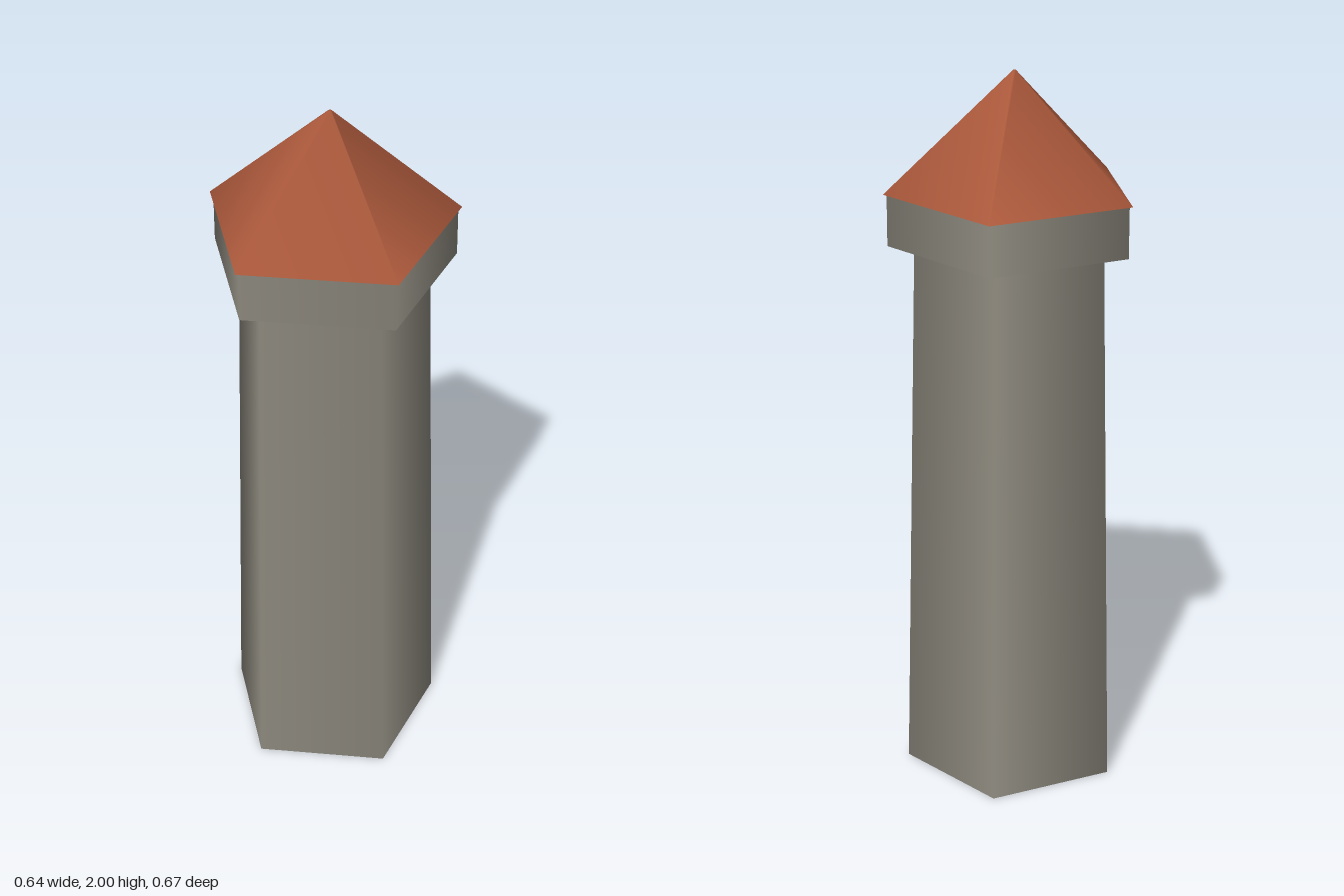
import * as THREE from 'three';

const SIDES = 5;
const CENTRE_X = -0.034; // pentagon axis, offset so its bounds are centred

export function createModel() {
  const stone = new THREE.MeshStandardMaterial({ color: 0x8f8b80 });
  stone.name = 'stone';
  const roofTile = new THREE.MeshStandardMaterial({ color: 0xa8573a });
  roofTile.name = 'roofTile';

  const tower = new THREE.Group();
  tower.name = 'tower';

  // Smooth-shaded five-sided drum with one corner facing +x
  function addDrum(name, material, bottomRadius, topRadius, y0, y1) {
    const geometry = new THREE.CylinderGeometry(
      topRadius, bottomRadius, y1 - y0, SIDES, 1, false, Math.PI / 2);
    const mesh = new THREE.Mesh(geometry, material);
    mesh.name = name;
    mesh.position.set(CENTRE_X, (y0 + y1) / 2, 0);
    tower.add(mesh);
  }

  // Tapered shaft, overhanging collar and pointed roof
  addDrum('shaft', stone, 0.305, 0.27, 0, 1.532);
  addDrum('collar', stone, 0.342, 0.342, 1.532, 1.674);
  addDrum('roof', roofTile, 0.352, 0.004, 1.674, 2);

  return tower;
}
